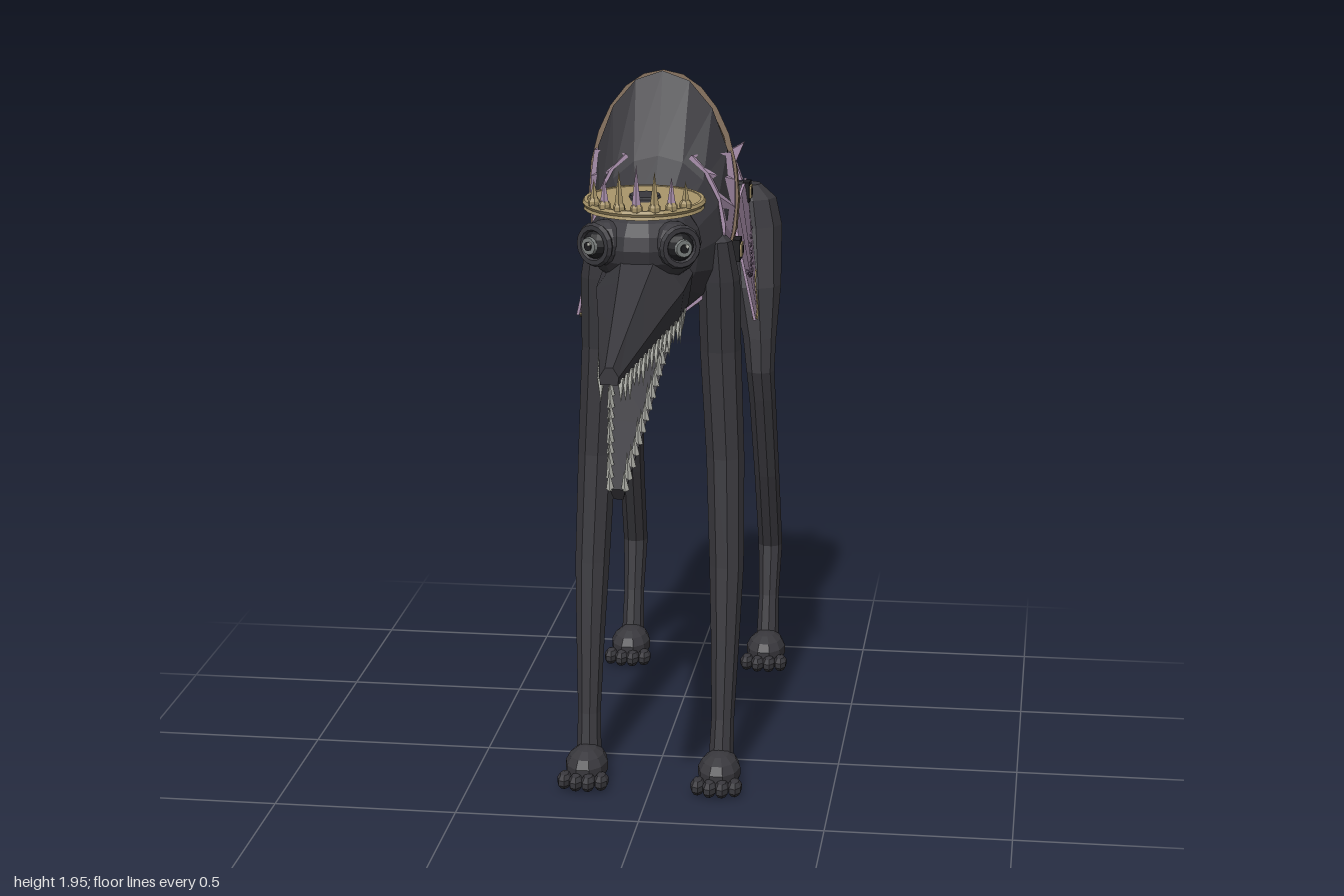
import * as THREE from 'three';

const mat = (name, color) => Object.assign(new THREE.MeshStandardMaterial({ color }), { name });
const dark = mat('charcoal hide', 0x39383d), mauve = mat('mauve cloth', 0xab91ae), gold = mat('dull gold', 0xa8956a);
const leather = mat('brown leather', 0x87725f), tooth = mat('bone', 0xc6c7bf), black = mat('black', 0x1d1d20);
const grey = mat('eye grey', 0x7b7f7e), plum = mat('plum stud', 0x65526a);

const flat = (g) => {
  const f = g.index ? g.toNonIndexed() : g;
  f.computeVertexNormals();
  return f;
};
const V = (x, y, z) => new THREE.Vector3(x, y, z);

export function createModel() {
  const root = new THREE.Group();
  root.name = 'longLeggedBeast';
  const add = (name, geo, m, pos, parent = root) => {
    const mesh = new THREE.Mesh(flat(geo), m);
    mesh.name = name;
    if (pos) mesh.position.set(...pos);
    parent.add(mesh);
    return mesh;
  };

  // Closed skin through matching rings, turned outward by its signed volume
  const loft = (rings, caps = true) => {
    const tris = [], n = rings[0].length;
    for (let i = 0; i < rings.length - 1; i++)
      for (let j = 0; j < n; j++) {
        const k = (j + 1) % n, A = rings[i], B = rings[i + 1];
        tris.push([A[j], A[k], B[j]], [A[k], B[k], B[j]]);
      }
    if (caps) [rings[0], rings[rings.length - 1]].forEach((r, e) => {
      for (let j = 1; j < n - 1; j++) tris.push(e ? [r[0], r[j], r[j + 1]] : [r[0], r[j + 1], r[j]]);
    });
    let vol = 0;
    const o = rings[0][0], a = V(), b = V(), c = V();
    for (const [p, q, r] of tris) vol += a.subVectors(p, o).dot(b.subVectors(q, o).cross(c.subVectors(r, o)));
    const pts = tris.flatMap(([p, q, r]) => (vol < 0 ? [p, r, q] : [p, q, r]));
    return new THREE.BufferGeometry().setFromPoints(pts);
  };
  // Linear lookup in rows whose first entry falls from row to row
  const lookup = (rows, z) => {
    let i = 0;
    while (i < rows.length - 2 && z < rows[i + 1][0]) i++;
    const t = (z - rows[i][0]) / (rows[i + 1][0] - rows[i][0]);
    return rows[i].map((v, k) => v + (rows[i + 1][k] - v) * t);
  };

  // Torso sections: z, centre height, half height, half width
  const torso = [
    [0.2, 1.5, 0.12, 0.085], [0.17, 1.5, 0.15, 0.12], [0.09, 1.52, 0.22, 0.172], [0, 1.62, 0.335, 0.19],
    [-0.07, 1.6, 0.3, 0.188], [-0.18, 1.56, 0.263, 0.175], [-0.31, 1.52, 0.212, 0.155], [-0.45, 1.48, 0.165, 0.14],
    [-0.58, 1.44, 0.137, 0.13], [-0.8, 1.395, 0.12, 0.12], [-0.93, 1.38, 0.115, 0.118], [-1, 1.375, 0.097, 0.09],
  ];
  const onTorso = (z, a, off = 0) => {
    const [, yc, ry, w] = lookup(torso, z);
    return V((w + off) * Math.cos(a), yc + (ry + off) * Math.sin(a), z);
  };
  const turn = (n) => Array.from({ length: n }, (_, i) => (i / n) * Math.PI * 2);
  add('torso', loft(torso.map(([z]) => turn(16).map((a) => onTorso(z, a)))), dark);

  // Cloth over the back, leaving the hump bare above its hem
  const clothZ = [0.08, 0, -0.07, -0.18, -0.31, -0.45, -0.58, -0.8, -0.93];
  for (const s of [1, -1]) {
    const rings = clothZ.map((z) => {
      const [, yc, ry] = lookup(torso, z);
      const top = Math.asin(Math.min(1, (1.735 - yc) / ry)), low = -1.2;
      const arc = (off) => Array.from({ length: 8 }, (_, i) => {
        const p = onTorso(z, low + ((top - low) * i) / 7, off);
        p.x *= s;
        return p;
      });
      return [...arc(0.008), ...arc(-0.004).reverse()];
    });
    add('backCloth', loft(rings), mauve);
  }

  // Girth straps
  for (const [z, half] of [[-0.045, 0.025], [-0.81, 0.02]]) {
    const a = [...turn(24), Math.PI * 2];
    add('girthStrap', loft(a.map((t) => [
      onTorso(z - half, t, 0.016), onTorso(z + half, t, 0.016), onTorso(z + half, t), onTorso(z - half, t),
    ]), false), leather);
  }

  // Side flaps: z, top x, top y, bottom x, bottom y
  const flap = [
    [-0.07, 0.2, 1.49, 0.25, 1.26], [-0.25, 0.178, 1.495, 0.235, 1.245], [-0.47, 0.156, 1.5, 0.21, 1.23],
    [-0.65, 0.147, 1.505, 0.187, 1.243], [-0.86, 0.14, 1.51, 0.17, 1.26],
  ];
  for (const s of [1, -1]) {
    add('sideFlap', loft(flap.map(([z, tx, ty, bx, by]) => [
      V(s * tx, ty, z), V(s * bx, by, z), V(s * (bx - 0.008), by, z), V(s * (tx - 0.008), ty, z),
    ])), mauve);
    const hem = new THREE.CatmullRomCurve3(flap.map(([z, , , bx, by]) => V(s * (bx - 0.004), by, z)));
    add('flapHem', new THREE.TubeGeometry(hem, 16, 0.008, 6), gold);
    for (let i = 0; i < 13; i++) {
      const z = -0.14 - i * 0.052, u = (i - 6) / 6;
      const [, tx, ty, bx, by] = lookup(flap, z), y = 1.325 + 0.055 * u * u;
      const x = bx + ((tx - bx) * (y - by)) / (ty - by);
      add('flapStud', new THREE.SphereGeometry(0.008, 6, 4), plum, [s * x, y, z]);
    }
    // Buckles
    for (const [x, y, z] of [[0.2, 1.465, -0.04], [0.145, 1.48, -0.81]]) {
      add('buckleFrame', new THREE.BoxGeometry(0.02, 0.06, 0.06), black, [s * x, y, z]);
      add('bucklePlate', new THREE.BoxGeometry(0.03, 0.036, 0.036), gold, [s * x, y, z]);
      add('buckleCentre', new THREE.BoxGeometry(0.036, 0.018, 0.018), black, [s * x, y, z]);
    }
    // Bow wing
    const wing = new THREE.Shape([[0.01, 0.045], [0.13, 0.115], [0.105, 0.055], [0.125, 0], [0.01, 0.01]]
      .map(([x, y]) => new THREE.Vector2(s * x, y)));
    add('bowWing', new THREE.ExtrudeGeometry(wing, { depth: 0.03, bevelEnabled: false }), mauve, [0, 1.5, -0.9]);
  }
  add('bowKnot', new THREE.BoxGeometry(0.045, 0.045, 0.045), gold, [0, 1.525, -0.885]);
  add('bowBand', new THREE.BoxGeometry(0.2, 0.012, 0.015), gold, [0, 1.506, -0.875]);

  // Legs: x, y, z, radius down each limb, then a paw
  const legs = {
    front: [[0.15, 1.535, 0.07, 0.02], [0.155, 1.51, 0.07, 0.043], [0.16, 1.4, 0.05, 0.058], [0.163, 1.2, 0.027, 0.057],
      [0.178, 0.9, 0.033, 0.053], [0.187, 0.6, 0.07, 0.048], [0.188, 0.4, 0.105, 0.04], [0.187, 0.18, 0.143, 0.032], [0.185, 0.06, 0.165, 0.035]],
    rear: [[0.14, 1.49, -0.89, 0.04], [0.15, 1.45, -0.89, 0.075], [0.16, 1.37, -0.88, 0.084], [0.175, 1.2, -0.815, 0.074],
      [0.19, 1.05, -0.77, 0.05], [0.195, 0.95, -0.752, 0.042], [0.2, 0.86, -0.775, 0.04], [0.207, 0.6, -0.86, 0.038],
      [0.21, 0.35, -0.96, 0.037], [0.21, 0.2, -0.925, 0.031], [0.21, 0.06, -0.89, 0.034]],
  };
  for (const s of [1, -1]) for (const [name, path] of Object.entries(legs)) {
    add(name + 'Leg', loft(path.map(([x, y, z, r]) =>
      turn(9).map((a) => V(s * x + r * Math.cos(a), y, z + r * Math.sin(a))))), dark);
    const [x, , z] = path[path.length - 1];
    const paw = new THREE.Group();
    paw.name = name + 'Paw';
    paw.position.set(s * x, 0, z);
    root.add(paw);
    const pad = new THREE.SphereGeometry(1, 10, 7).scale(0.06, 0.055, 0.09).translate(0, 0.045, 0.04);
    const p = pad.attributes.position;
    for (let i = 0; i < p.count; i++) p.setY(i, Math.max(0.008, p.getY(i)));
    add('pawPad', pad, dark, null, paw);
    for (let i = 0; i < 4; i++) {
      const u = i - 1.5;
      add('toe', new THREE.SphereGeometry(1, 7, 5).scale(0.021, 0.024, 0.04), dark,
        [u * 0.034, 0.025, 0.135 - Math.abs(u) * 0.014], paw);
    }
  }

  // Neck and collar
  const neck = [[0.12, 0.1, 0.11], [0.22, 0.085, 0.095], [0.3, 0.1, 0.09]];
  add('neck', loft(neck.map(([z, w, h]) => turn(10).map((a) => V(w * Math.cos(a), 1.54 + h * Math.sin(a), z)))), dark);
  add('collarCharm', new THREE.OctahedronGeometry(0.022), black, [0, 1.45, 0.205]);

  // Skull and upper jaw; jaw sections: z, half width, top, bottom
  add('skull', new THREE.SphereGeometry(1, 14, 10).scale(0.15, 0.115, 0.155), dark, [0, 1.565, 0.365]);
  const snout = [[1, 0.024, 1.378, 1.335], [0.8, 0.056, 1.44, 1.35], [0.6, 0.088, 1.503, 1.365], [0.45, 0.115, 1.55, 1.375], [0.3, 0.12, 1.57, 1.385]];
  add('upperJaw', loft(snout.map(([z, w, t, b]) => [
    V(0.4 * w, t, z), V(w, b + (t - b) * 0.45, z), V(0.9 * w, b, z), V(-0.9 * w, b, z), V(-w, b + (t - b) * 0.45, z), V(-0.4 * w, t, z),
  ])), dark);

  // Lower jaw, hanging open along a slanted line
  const jawAt = (t, h) => [1.383 - 0.365 * t + h * 0.825, 0.325 + 0.53 * t + h * 0.565];
  const jawW = (t) => 0.1 - 0.08 * t;
  add('lowerJaw', loft([0, 0.3, 0.65, 1].map((t) => {
    const w = jawW(t), [ty, tz] = jawAt(t, 0.018), [by, bz] = jawAt(t, -0.02);
    return [V(w, ty, tz), V(-w, ty, tz), V(-w * 0.6, by, bz), V(w * 0.6, by, bz)];
  })), dark);

  // Teeth
  for (const s of [1, -1]) for (let i = 0; i < 16; i++) {
    const z = 0.97 - i * 0.04, [, w, , b] = lookup(snout, z);
    const len = 0.06 + 0.012 * (i % 3);
    add('upperTooth', new THREE.ConeGeometry(0.011, len, 5).rotateX(Math.PI), tooth, [s * w * 0.86, b - len / 2 + 0.008, z]);
    const t = 0.08 + i * 0.06, [y, zz] = jawAt(t, 0.012 + len / 2);
    add('lowerTooth', new THREE.ConeGeometry(0.011, len, 5), tooth, [s * jawW(t) * 0.88, y, zz]).rotation.x = 0.4;
  }

  // Eyes, turned outward
  for (const s of [1, -1]) {
    const eye = new THREE.Group();
    eye.name = 'eye';
    eye.position.set(s * 0.092, 1.577, 0.465);
    eye.rotation.y = s * 0.55;
    root.add(eye);
    add('eyeSocket', new THREE.SphereGeometry(0.06, 12, 8), dark, [0, 0, -0.01], eye);
    add('eyeRim', new THREE.TorusGeometry(0.046, 0.012, 6, 16), dark, [0, 0, 0.035], eye);
    add('eyeball', new THREE.SphereGeometry(0.042, 12, 8), black, [0, 0, 0.018], eye);
    add('iris', new THREE.CylinderGeometry(0.022, 0.024, 0.008, 14).rotateX(Math.PI / 2), grey, [0, 0, 0.058], eye);
    add('pupil', new THREE.CylinderGeometry(0.012, 0.012, 0.008, 10).rotateX(Math.PI / 2), black, [0, 0, 0.061], eye);
    add('eyeGlint', new THREE.CylinderGeometry(0.005, 0.005, 0.008, 8).rotateX(Math.PI / 2), tooth, [0.006, 0.007, 0.064], eye);
  }

  // Crown plate with a row of spikes across the front
  const crown = new THREE.Group();
  crown.name = 'crown';
  crown.position.set(0, 1.665, 0.365);
  crown.rotation.x = 0.04;
  root.add(crown);
  add('crownPlate', new THREE.CylinderGeometry(0.15, 0.158, 0.022, 24), gold, null, crown);
  add('crownRim', new THREE.TorusGeometry(0.152, 0.009, 6, 28).rotateX(Math.PI / 2), gold, [0, 0.005, 0], crown);
  add('crownTop', new THREE.CylinderGeometry(0.04, 0.045, 0.02, 12), dark, [0, 0.009, -0.015], crown);
  for (let i = -3; i <= 3; i++) {
    const a = i * 0.32, x = 0.145 * Math.sin(a), z = 0.145 * Math.cos(a), h = 0.12 - 0.018 * Math.abs(i);
    add('crownSpike', new THREE.ConeGeometry(0.014, h, 5), i % 2 ? gold : mauve, [x, 0.012 + h / 2, z], crown);
    add('crownBead', new THREE.SphereGeometry(0.017, 7, 5), gold, [x, 0.016, z], crown);
  }
  return root;
}
